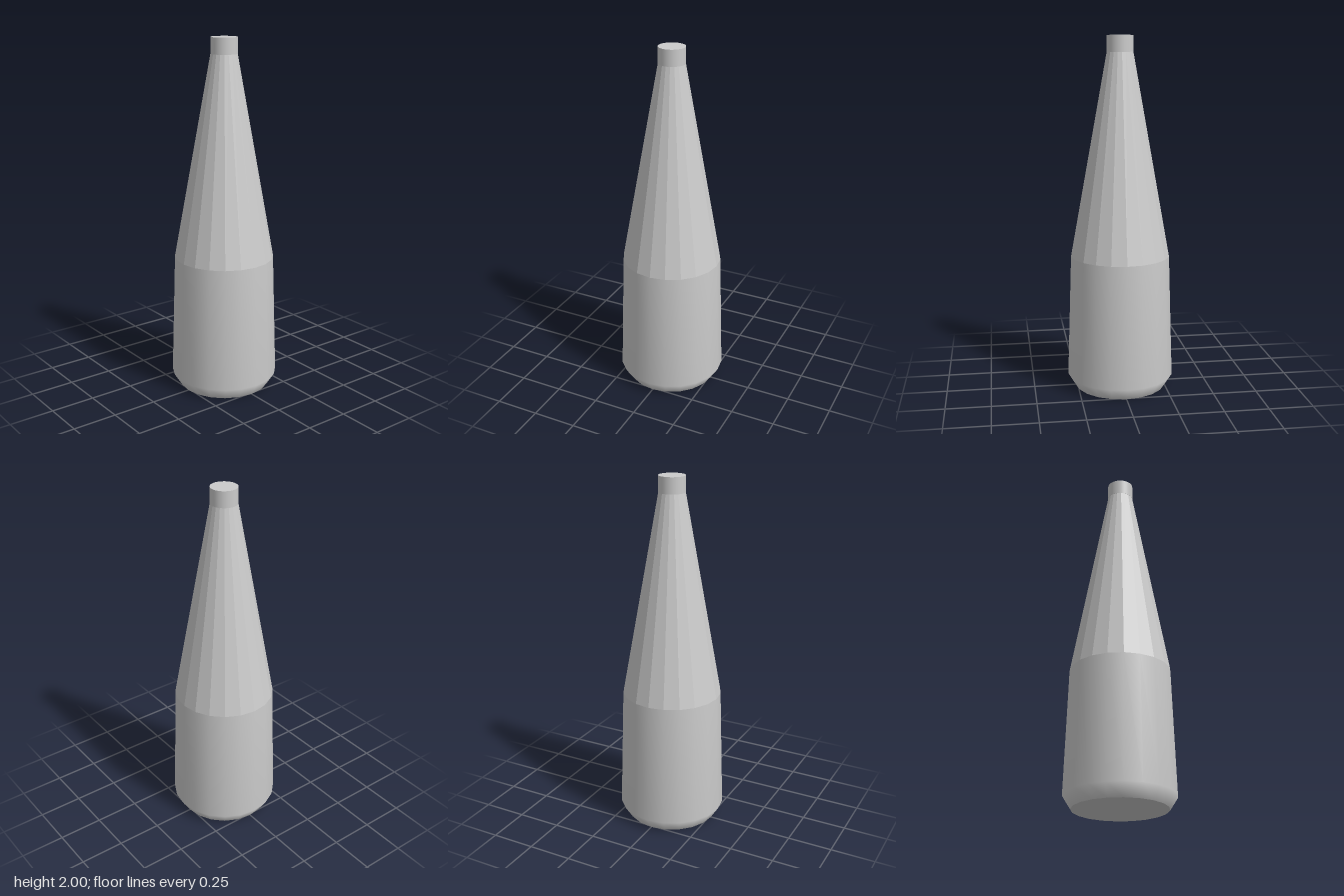
import * as THREE from 'three';

const SIDES = 20;

export function createModel() {
  const group = new THREE.Group();
  const smooth = new THREE.MeshStandardMaterial({ color: 0xcccccc });
  const faceted = new THREE.MeshStandardMaterial({ color: 0xcccccc, flatShading: true });

  const add = (name, geometry, material, y = 0) => {
    const mesh = new THREE.Mesh(geometry, material);
    mesh.name = name;
    mesh.position.y = y;
    group.add(mesh);
  };

  // Slightly tapered body with a chamfered foot
  const profile = [[0.26, 0], [0.304, 0.07], [0.281, 0.77]].map(([r, y]) => new THREE.Vector2(r, y));
  add('body', new THREE.LatheGeometry(profile, SIDES), smooth);

  // Flat underside
  const base = new THREE.CircleGeometry(0.26, SIDES);
  base.rotateX(Math.PI / 2);
  add('base', base, smooth);

  // Long faceted shoulder narrowing to the neck
  add('shoulder', new THREE.CylinderGeometry(0.074, 0.281, 1.14, SIDES, 1, true), faceted, 1.34);

  // Short round neck with a closed flat top
  add('neck', new THREE.CylinderGeometry(0.074, 0.074, 0.09, 40), smooth, 1.955);

  return group;
}
